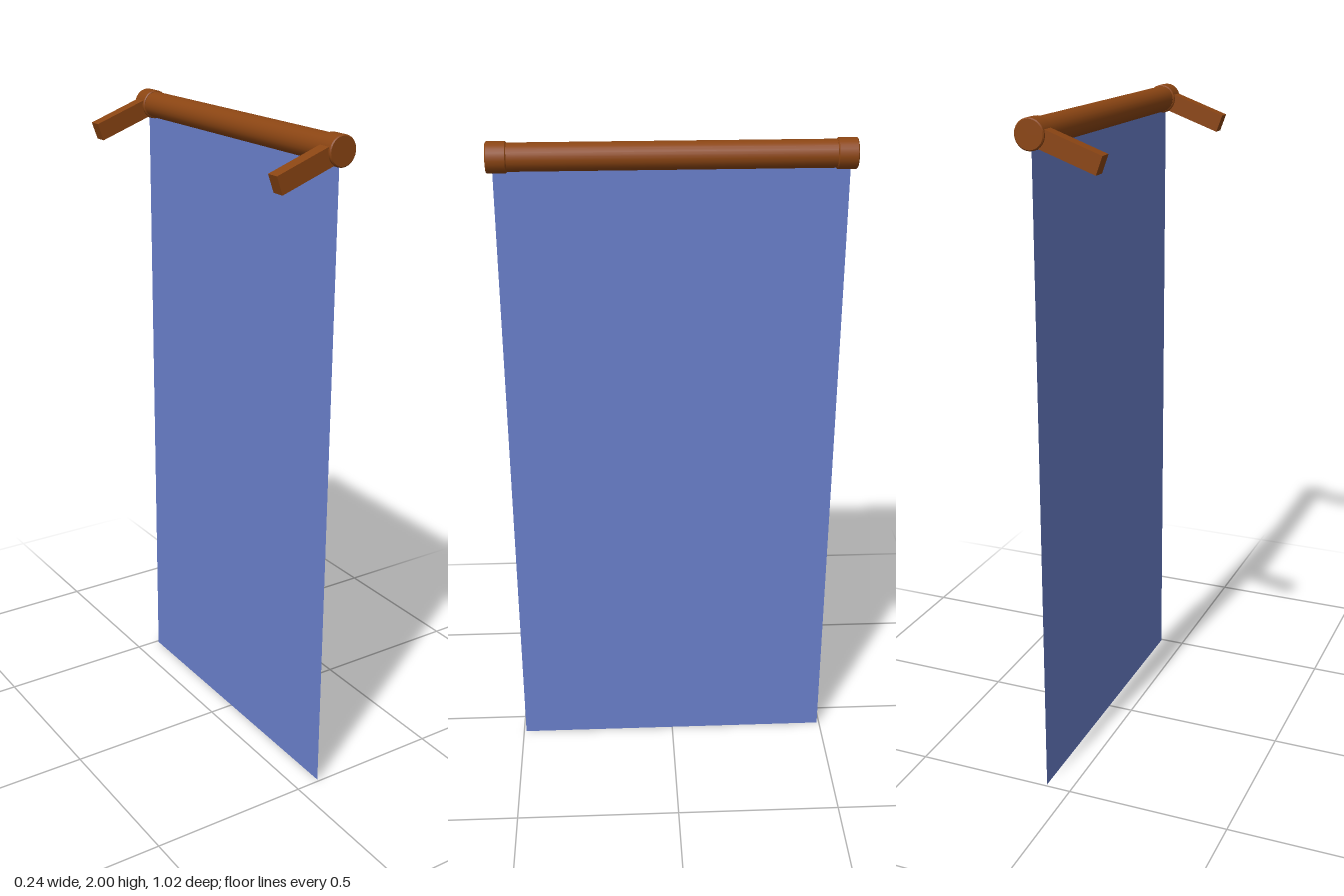
import * as THREE from 'three';

export function createModel() {
  const group = new THREE.Group();
  const wood = new THREE.MeshStandardMaterial({ color: 0x8b4513 });
  const fabric = new THREE.MeshStandardMaterial({ color: 0x6a80cc, side: THREE.DoubleSide });
  const X = 0.079, Y = 1.957; // axis of the pole
  const capZ = 0.48, tilt = THREE.MathUtils.degToRad(20);

  const add = (name, geometry, material, x, y, z) => {
    const mesh = new THREE.Mesh(geometry, material);
    mesh.name = name;
    mesh.position.set(x, y, z);
    group.add(mesh);
    return mesh;
  };

  // Horizontal pole
  add('pole', new THREE.CylinderGeometry(0.039, 0.039, 0.94, 24).rotateX(Math.PI / 2), wood, X, Y, 0);

  // End caps with a fine chamfer; each profile run has its own points so edges stay crisp
  const r = 0.043, h = 0.0285, b = 0.003;
  const profile = [[0, -h], [r - b, -h], [r - b, -h], [r, b - h], [r, b - h], [r, h - b],
    [r, h - b], [r - b, h], [r - b, h], [0, h]].map(([x, y]) => new THREE.Vector2(x, y));
  const strips = [];
  for (let i = 0; i < profile.length; i += 2) {
    strips.push(new THREE.LatheGeometry(profile.slice(i, i + 2), 24).rotateX(Math.PI / 2));
  }

  // Arms slope down and away from the pole
  const armLength = 0.205;
  const armGeometry = new THREE.BoxGeometry(armLength, 0.054, 0.04).translate(-armLength / 2, 0, 0);

  for (const [side, s] of [['front', 1], ['back', -1]]) {
    const cap = new THREE.Group();
    cap.name = side + 'EndCap';
    cap.position.set(X, Y, s * capZ);
    for (const strip of strips) cap.add(new THREE.Mesh(strip, wood));
    group.add(cap);
    add(side + 'Arm', armGeometry, wood, X, Y, s * capZ).rotation.z = tilt;
  }

  // Hanging cloth, a single sheet
  add('cloth', new THREE.PlaneGeometry(0.985, Y).rotateY(Math.PI / 2), fabric, X, Y / 2, 0);

  return group;
}
